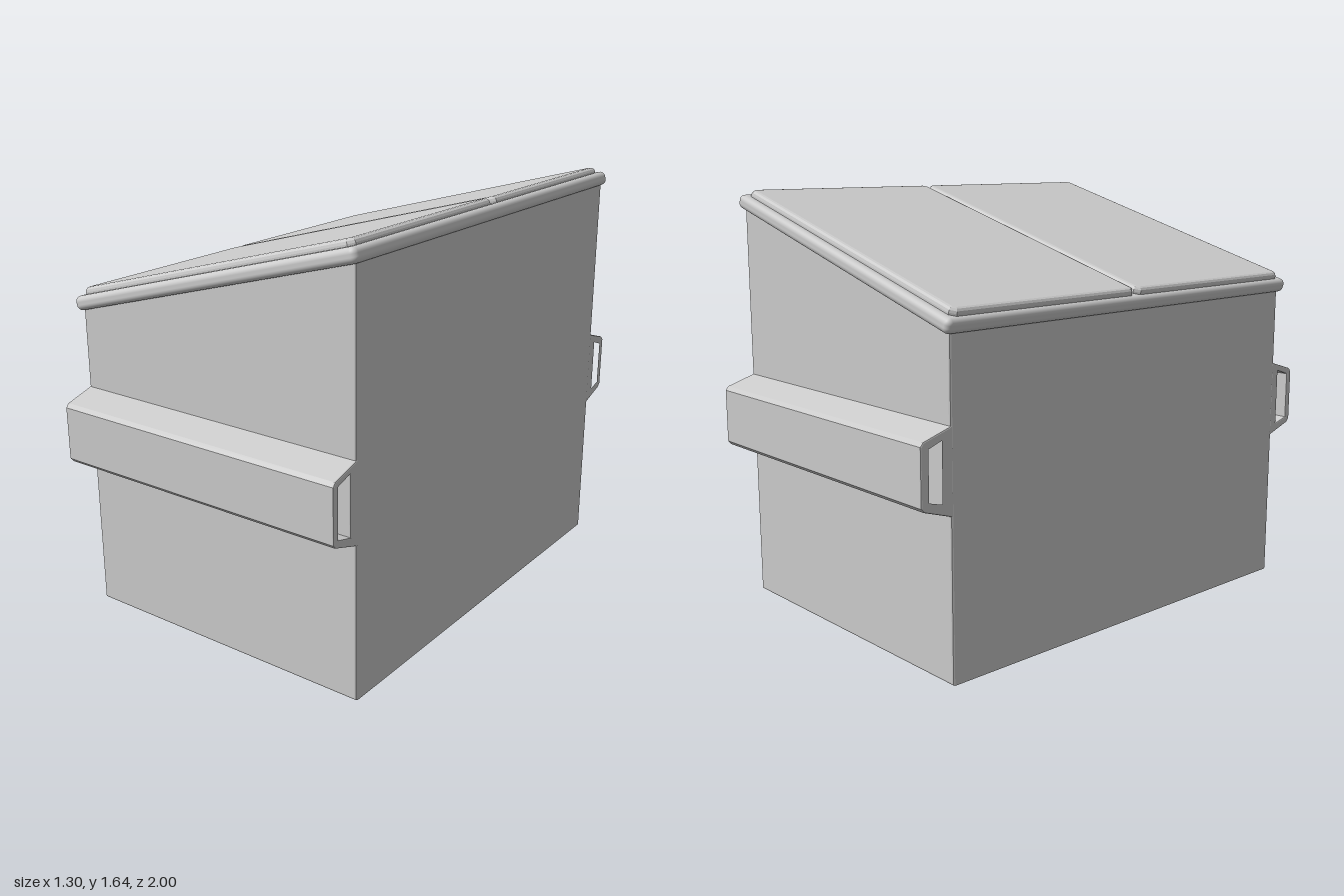
import * as THREE from 'three';
import { RoundedBoxGeometry } from 'three/addons/geometries/RoundedBoxGeometry.js';

const X0 = -0.625, X1 = 0.635; // body ends
const SLOPE = Math.atan(0.281); // tilt of the rim and lids

const polygon = (points) => new THREE.Shape(points.map(([x, y]) => new THREE.Vector2(x, y)));

// Extrusion with bevelled edges that keeps the given outline and total depth
function bevelled(shape, depth, bevel, segments = 2) {
  return new THREE.ExtrudeGeometry(shape, {
    depth: depth - 2 * bevel, bevelEnabled: true, bevelSize: bevel,
    bevelThickness: bevel, bevelOffset: -bevel, bevelSegments: segments,
  }).translate(0, 0, bevel);
}

export function createModel() {
  const model = new THREE.Group();
  const material = new THREE.MeshStandardMaterial({ color: 0xcccccc });
  const add = (parent, name, geometry) => {
    const mesh = new THREE.Mesh(geometry, material);
    mesh.name = name;
    parent.add(mesh);
    return mesh;
  };

  // Bin body with a sloping top
  const side = polygon([[X0, 0], [X1, 0], [X1, 1.59], [X0, 1.235]]);
  add(model, 'body', bevelled(side, 1.75, 0.008).translate(0, 0, -0.875));

  // Lifting sleeves on front and back, hollow at both ends
  for (const s of [1, -1]) {
    const sleeve = new THREE.Group();
    sleeve.name = s > 0 ? 'frontSleeve' : 'backSleeve';
    model.add(sleeve);
    const mirror = (points) => points.map(([z, y]) => [s * z, y]);
    const frame = polygon(mirror([
      [0.865, 0.597], [0.88, 0.602], [0.987, 0.637], [1, 0.652],
      [1, 0.858], [0.988, 0.873], [0.88, 0.906], [0.865, 0.912],
    ]));
    const opening = mirror([[0.907, 0.645], [0.972, 0.662], [0.972, 0.85], [0.907, 0.872]]);
    frame.holes.push(polygon(opening));
    add(sleeve, 'sleeveShell',
      bevelled(frame, X1 - X0, 0.005).rotateY(-Math.PI / 2).translate(X1, 0, 0));

    // Wall that closes the pocket from inside
    const plug = new THREE.ExtrudeGeometry(polygon(opening), { depth: 0.86, bevelEnabled: false });
    add(sleeve, 'sleeveCore', plug.rotateY(-Math.PI / 2).translate(0.435, 0, 0));
  }

  // Tilted top: rim and two lids
  const top = new THREE.Group();
  top.name = 'top';
  top.position.set(0, 1.415, 0);
  top.rotation.z = SLOPE;
  model.add(top);
  add(top, 'rim', new RoundedBoxGeometry(1.345, 0.055, 1.8, 4, 0.022));

  // Lids with clipped corners, meeting in a groove at the middle
  const a = -0.648, b = 0.648, w = 0.433, c = 0.02;
  const outline = polygon([
    [a + c, -w], [b - c, -w], [b, -w + c], [b, w - c],
    [b - c, w], [a + c, w], [a, w - c], [a, -w + c],
  ]);
  for (const s of [1, -1]) {
    const lid = add(top, s > 0 ? 'frontLid' : 'backLid',
      bevelled(outline, 0.042, 0.018, 3).rotateX(-Math.PI / 2));
    lid.position.set(0, 0.011, s * 0.436);
  }
  return model;
}
